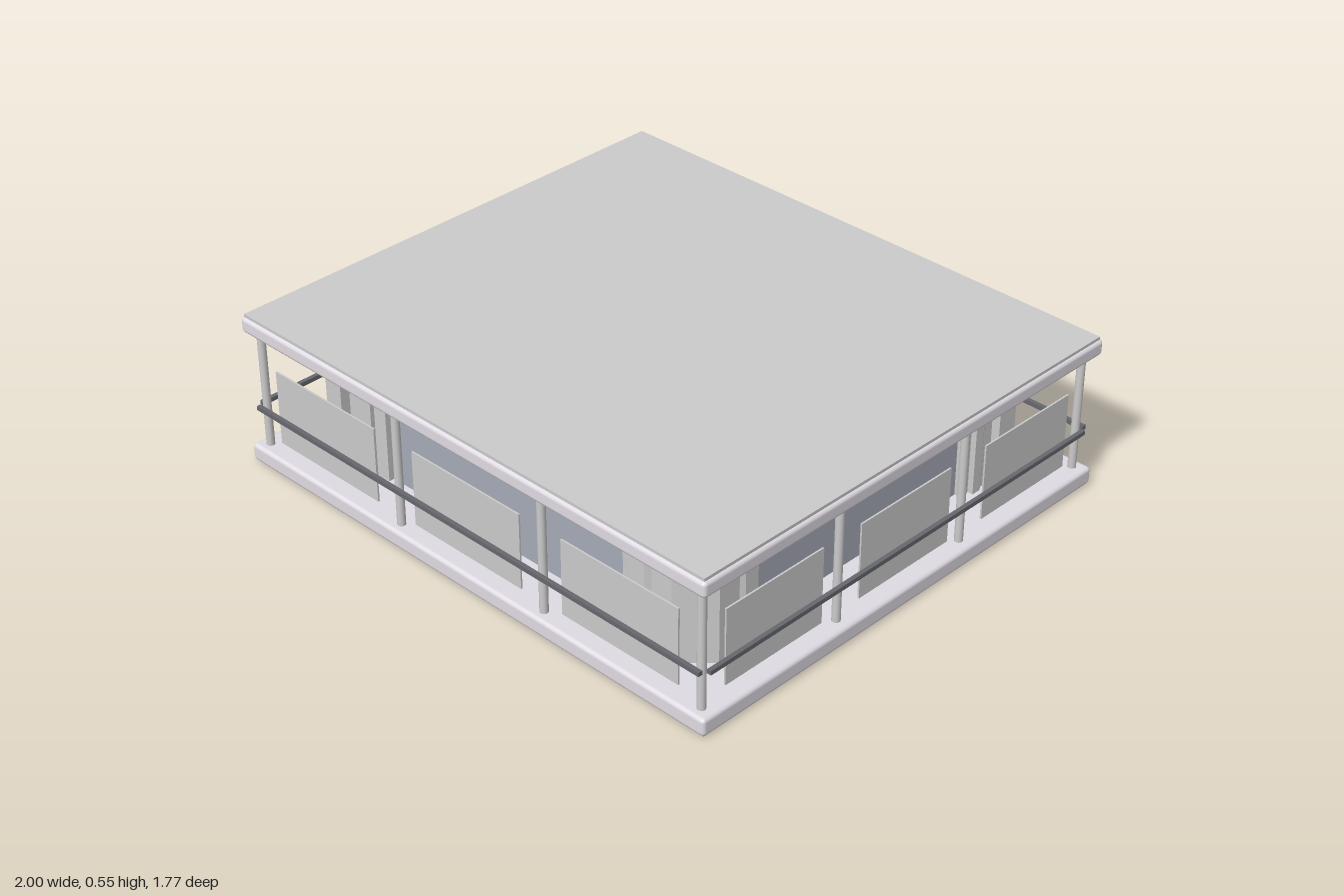
import * as THREE from 'three';
import { RoundedBoxGeometry } from 'three/addons/geometries/RoundedBoxGeometry.js';

const mat = (color) => new THREE.MeshStandardMaterial({ color });
const grey = mat(0xcccccc);
const slabMat = mat(0xe0dbe3);
const glassMat = mat(0xa6abb8);
const railMat = mat(0x66686e);

export function createModel() {
  const group = new THREE.Group();

  const add = (name, geometry, material, x, y, z) => {
    const mesh = new THREE.Mesh(geometry, material);
    mesh.name = name;
    mesh.position.set(x, y, z);
    group.add(mesh);
    return mesh;
  };
  // Box given by its size and centre
  const box = (name, material, w, h, d, x, y, z) =>
    add(name, new THREE.BoxGeometry(w, h, d), material, x, y, z);

  // Floor and roof slabs with softened edges, closed by thin plates
  add('floorSlab', new RoundedBoxGeometry(2, 0.062, 1.77, 2, 0.014), slabMat, 0, 0.035, 0);
  add('roofSlab', new RoundedBoxGeometry(2, 0.055, 1.77, 2, 0.014), slabMat, 0, 0.508, 0);
  box('floorPlate', grey, 1.98, 0.01, 1.75, 0, 0.005, 0);
  box('roofPlate', grey, 1.98, 0.012, 1.75, 0, 0.539, 0);

  // Stepped corner piers with a chamfered outer corner
  const pier = [
    [0.52, 0.68], [0.52, 0.72], [0.567, 0.725], [0.567, 0.74], [0.626, 0.74],
    [0.64, 0.725], [0.684, 0.725], [0.684, 0.76], [0.754, 0.76], [0.85, 0.664],
    [0.85, 0.588], [0.82, 0.588], [0.82, 0.55], [0.83, 0.535], [0.83, 0.5],
    [0.81, 0.5], [0.81, 0.46], [0.77, 0.46],
  ];
  for (const sx of [-1, 1]) {
    for (const sz of [-1, 1]) {
      const shape = new THREE.Shape(pier.map(([x, z]) => new THREE.Vector2(x * sx, z * sz)));
      const geometry = new THREE.ExtrudeGeometry(shape, { depth: 0.43, bevelEnabled: false });
      geometry.rotateX(-Math.PI / 2);
      add('cornerPier', geometry, grey, 0, 0.06, 0);
    }
  }

  // Glazed walls, two-step lintels and surrounding rails on all four sides
  for (const s of [-1, 1]) {
    box('longWindow', glassMat, 1.06, 0.43, 0.04, 0, 0.275, s * 0.68);
    box('longLintel', grey, 1.134, 0.06, 0.12, 0, 0.465, s * 0.725);
    box('longLintelStep', grey, 1.134, 0.035, 0.08, 0, 0.42, s * 0.715);
    box('sideWindow', glassMat, 0.04, 0.43, 0.94, s * 0.77, 0.275, 0);
    box('sideLintel', grey, 0.12, 0.06, 1.0, s * 0.815, 0.465, 0);
    box('sideLintelStep', grey, 0.08, 0.035, 1.0, s * 0.805, 0.42, 0);

    box('longRail', railMat, 1.94, 0.015, 0.015, 0, 0.207, s * 0.867);
    box('sideRail', railMat, 0.015, 0.015, 1.69, s * 0.982, 0.207, 0);
  }

  // Slim posts along the front and the +x side
  const posts = [
    [-0.954, 0.845], [-0.317, 0.845], [0.317, 0.845], [0.954, 0.845],
    [0.954, 0.28], [0.954, -0.28], [0.954, -0.842],
  ];
  for (const [x, z] of posts) {
    add('post', new THREE.CylinderGeometry(0.014, 0.014, 0.43, 16), grey, x, 0.275, z);
  }

  // Flat screen panels hung between the posts
  for (const i of [-1, 0, 1]) {
    box('frontPanel', grey, 0.468, 0.265, 0.006, i * 0.642, 0.243, 0.855);
    box('sidePanel', grey, 0.006, 0.265, 0.402, 0.968, 0.243, i * 0.565);
  }

  return group;
}
